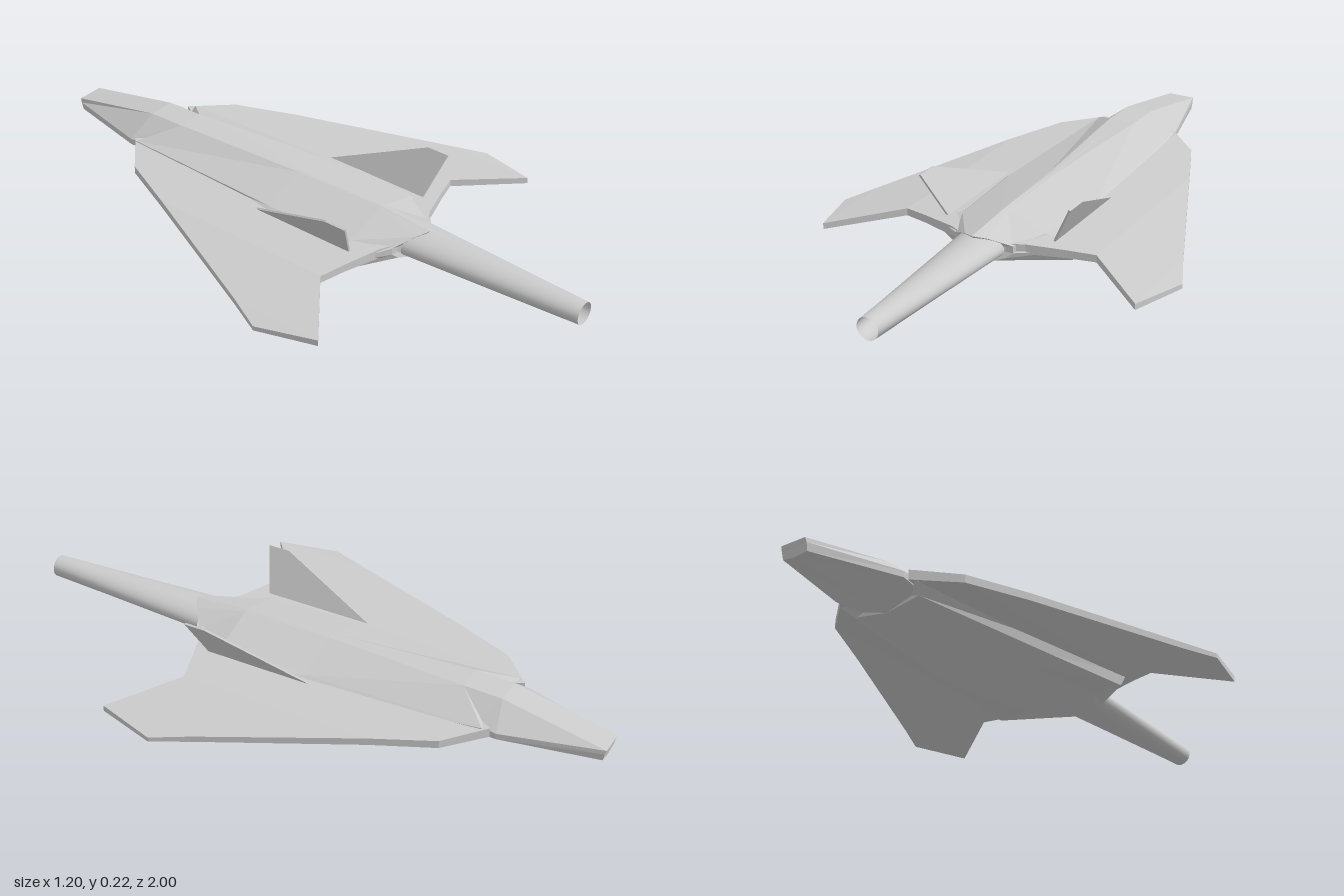
import * as THREE from 'three';

const flat = new THREE.MeshStandardMaterial({ color: 0xcccccc, flatShading: true });
const smooth = new THREE.MeshStandardMaterial({ color: 0xcccccc, side: THREE.DoubleSide });

// Closed solid through a series of rings with equal point counts, faces turned outward.
function loft(name, rings) {
  const tris = [];
  const n = rings[0].length;
  for (let i = 0; i < rings.length - 1; i++) {
    for (let j = 0; j < n; j++) {
      const k = (j + 1) % n;
      const a = rings[i][j], b = rings[i][k], c = rings[i + 1][k], d = rings[i + 1][j];
      tris.push([a, b, c], [a, c, d]);
    }
  }
  const cap = (ring, flip) => {
    const mid = [0, 1, 2].map((ax) => ring.reduce((s, p) => s + p[ax], 0) / n);
    ring.forEach((p, j) => {
      const q = ring[(j + 1) % n];
      tris.push(flip ? [mid, q, p] : [mid, p, q]);
    });
  };
  cap(rings[0], true);
  cap(rings[rings.length - 1], false);

  const v = (p) => new THREE.Vector3(...p);
  const volume = tris.reduce((s, [a, b, c]) => s + v(a).dot(v(b).cross(v(c))), 0);
  if (volume < 0) tris.forEach((t) => t.reverse());
  const geo = new THREE.BufferGeometry();
  geo.setAttribute('position', new THREE.Float32BufferAttribute(tris.flat(2), 3));
  geo.computeVertexNormals();
  const mesh = new THREE.Mesh(geo, flat);
  mesh.name = name;
  return mesh;
}

// Half section from top centre to bottom centre, completed by mirroring in x.
const mirrorRing = (half) => [
  ...half,
  ...half.slice(1, -1).reverse().map(([x, y, z]) => [-x, y, z]),
];

export function createModel() {
  const model = new THREE.Group();
  model.name = 'jet';

  // Blunt nose with the flat-topped canopy
  model.add(loft('nose', [
    [[0, 0.074, -1], [0.045, 0.074, -1], [0.047, 0.06, -0.995], [0.045, 0.035, -0.99], [0, 0.03, -0.99]],
    [[0, 0.142, -0.66], [0.045, 0.142, -0.66], [0.13, 0.075, -0.68], [0.13, 0.055, -0.68], [0, 0.013, -0.66]],
    [[0, 0.146, -0.53], [0.045, 0.146, -0.53], [0.12, 0.08, -0.6], [0.12, 0.05, -0.6], [0, 0.011, -0.55]],
  ].map(mirrorRing)));

  // Fuselage: tapering spine above, keel and widening intake fairings below
  model.add(loft('fuselage', [
    [[0, 0.146, -0.53], [0.045, 0.146, -0.53], [0.145, 0.09, -0.64], [0.145, 0.055, -0.64],
      [0.12, 0.032, -0.6], [0.06, 0.022, -0.6], [0, 0.012, -0.6]],
    [[0, 0.141, -0.05], [0.012, 0.14, -0.05], [0.165, 0.092, -0.05], [0.205, 0.065, -0.05],
      [0.195, 0.026, -0.05], [0.1, 0.022, -0.05], [0, 0.004, -0.05]],
    [[0, 0.139, 0.26], [0.01, 0.136, 0.26], [0.15, 0.09, 0.26], [0.25, 0.065, 0.28],
      [0.24, 0.022, 0.26], [0.13, 0.025, 0.26], [0, 0.003, 0.26]],
    [[0, 0.125, 0.45], [0.04, 0.115, 0.425], [0.1, 0.085, 0.38], [0.1, 0.062, 0.38],
      [0.08, 0.045, 0.39], [0.05, 0.035, 0.4], [0, 0.03, 0.41]],
  ].map(mirrorRing)));

  // Drooping wing: stations of x, leading z, trailing z, top y, bottom y
  const stations = [
    [0.05, -0.53, 0.4, 0.092, 0.058],
    [0.13, -0.66, 0.355, 0.088, 0.056],
    [0.25, -0.55, 0.315, 0.08, 0.054],
    [0.335, -0.355, 0.29, 0.074, 0.05],
    [0.545, 0.132, 0.45, 0.04, 0.02],
    [0.6, 0.25, 0.255, 0.029, 0.014],
  ];
  const rib = (s) => ([x, front, back, top, bottom]) =>
    [[s * x, top, front], [s * x, top, back], [s * x, bottom, back], [s * x, bottom, front]];
  model.add(loft('wing', [
    ...[...stations].reverse().map(rib(-1)),
    ...stations.map(rib(1)),
  ]));

  // Canted tail fins
  for (const s of [1, -1]) {
    const t = 0.003;
    const outline = [[0.188, 0.08, -0.09], [0.262, 0.218, 0.25], [0.262, 0.218, 0.325], [0.188, 0.08, 0.285]];
    const side = (d) => outline.map(([x, y, z]) => [s * (x + d), y - d * 0.5, z]);
    model.add(loft(s > 0 ? 'leftFin' : 'rightFin', [side(-t), side(t)]));
  }

  // Long open exhaust tube, oval at the body and round at the end
  const tubeGeo = new THREE.CylinderGeometry(1, 1, 0.6, 32, 1, true);
  tubeGeo.rotateX(Math.PI / 2);
  tubeGeo.translate(0, 0, 0.7);
  const p = tubeGeo.attributes.position;
  for (let i = 0; i < p.count; i++) {
    const f = (p.getZ(i) - 0.4) / 0.6;
    p.setX(i, p.getX(i) * THREE.MathUtils.lerp(0.082, 0.036, f));
    p.setY(i, 0.076 + p.getY(i) * THREE.MathUtils.lerp(0.04, 0.036, f));
  }
  tubeGeo.computeVertexNormals();
  const tube = new THREE.Mesh(tubeGeo, smooth);
  tube.name = 'exhaustTube';
  model.add(tube);

  return model;
}
